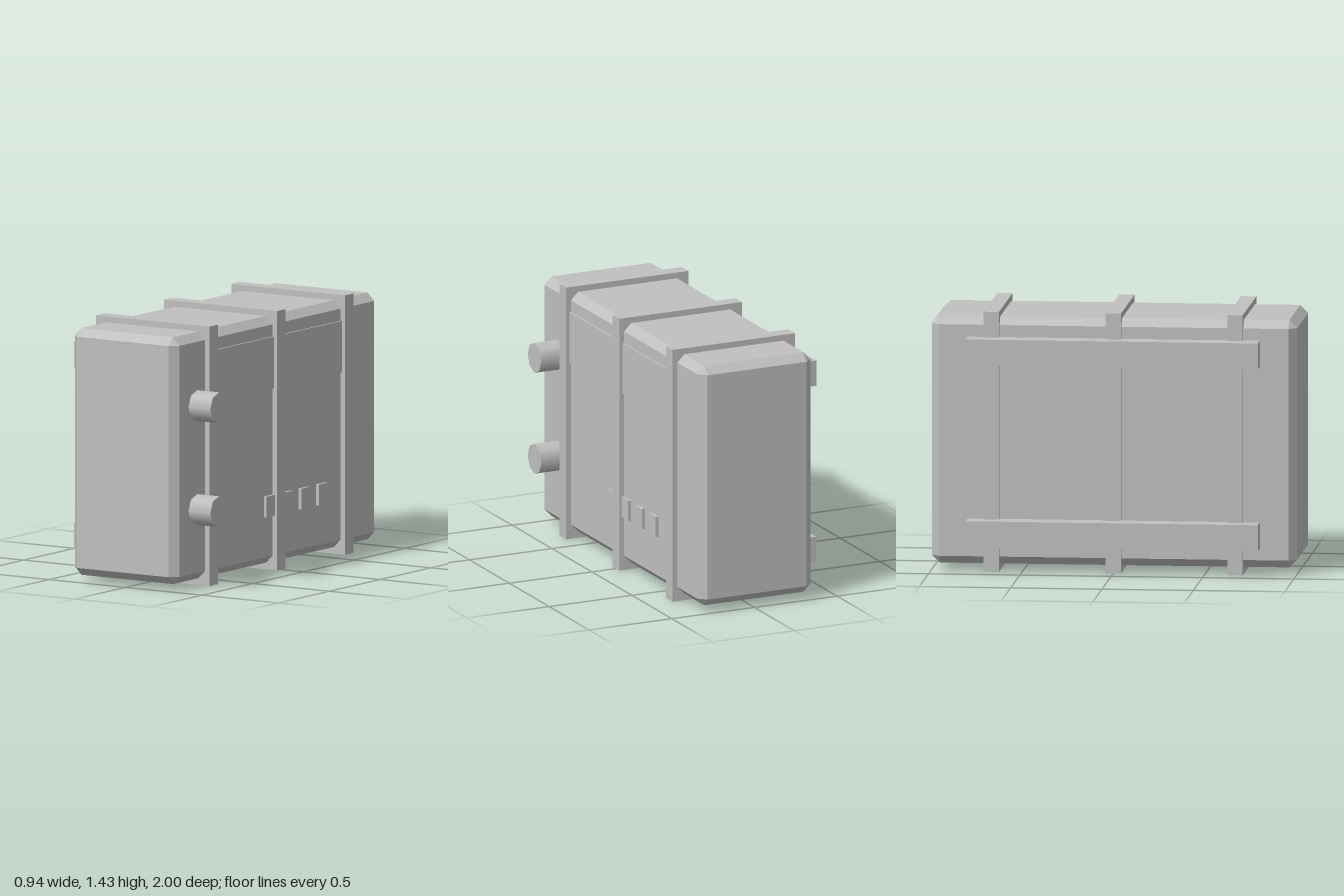
import * as THREE from 'three';
import { ConvexGeometry } from 'three/addons/geometries/ConvexGeometry.js';

const grey = new THREE.MeshStandardMaterial({ color: 0xc0c0c0 });
grey.name = 'light grey';

// Box given by its minimum and maximum corners
function box(name, min, max) {
  const size = max.map((v, i) => v - min[i]);
  const mesh = new THREE.Mesh(new THREE.BoxGeometry(...size), grey);
  mesh.position.set(...max.map((v, i) => (v + min[i]) / 2));
  mesh.name = name;
  return mesh;
}

// Box with every edge chamfered and triangular corners
function chamferedBox(w, h, d, c) {
  const points = [];
  for (const x of [-1, 1]) for (const y of [-1, 1]) for (const z of [-1, 1]) {
    for (let axis = 0; axis < 3; axis++) {
      const inset = [0, 1, 2].map(i => (i === axis ? 0 : c));
      points.push(new THREE.Vector3(
        x * (w / 2 - inset[0]), y * (h / 2 - inset[1]), z * (d / 2 - inset[2])));
    }
  }
  return new ConvexGeometry(points);
}

export function createModel() {
  const model = new THREE.Group();
  model.name = 'container';

  // Main body
  const body = new THREE.Mesh(chamferedBox(0.685, 1.36, 2, 0.043), grey);
  body.position.set(-0.017, 0.717, 0);
  body.name = 'body';
  model.add(body);

  // Straps wrapped around the body
  for (const z of [-0.667, 0, 0.667]) {
    model.add(box('strap', [-0.386, 0, z - 0.042], [0.355, 1.43, z + 0.042]));
  }

  // Mounting rails on one long side
  for (const y of [0.145, 1.145]) {
    model.add(box('mountingRail', [-0.471, y, -0.8], [-0.34, y + 0.143, 0.8]));
  }

  // Raised panel on the other long side
  model.add(box('sidePanel', [0.3, 1.003, -0.64], [0.335, 1.288, 0.64]));

  // Row of small plates
  for (let i = 0; i < 4; i++) {
    const z = 0.086 - i * 0.1717;
    model.add(box('smallPlate', [0.31, 0.302, z - 0.043], [0.343, 0.417, z + 0.043]));
  }

  // Pipe connectors
  for (const y of [0.43, 1.003]) {
    const pipe = new THREE.Mesh(new THREE.CylinderGeometry(0.085, 0.085, 0.168, 8), grey);
    pipe.rotation.z = -Math.PI / 2;
    pipe.position.set(0.384, y, 0.786);
    pipe.name = 'pipeConnector';
    model.add(pipe);
  }

  return model;
}
